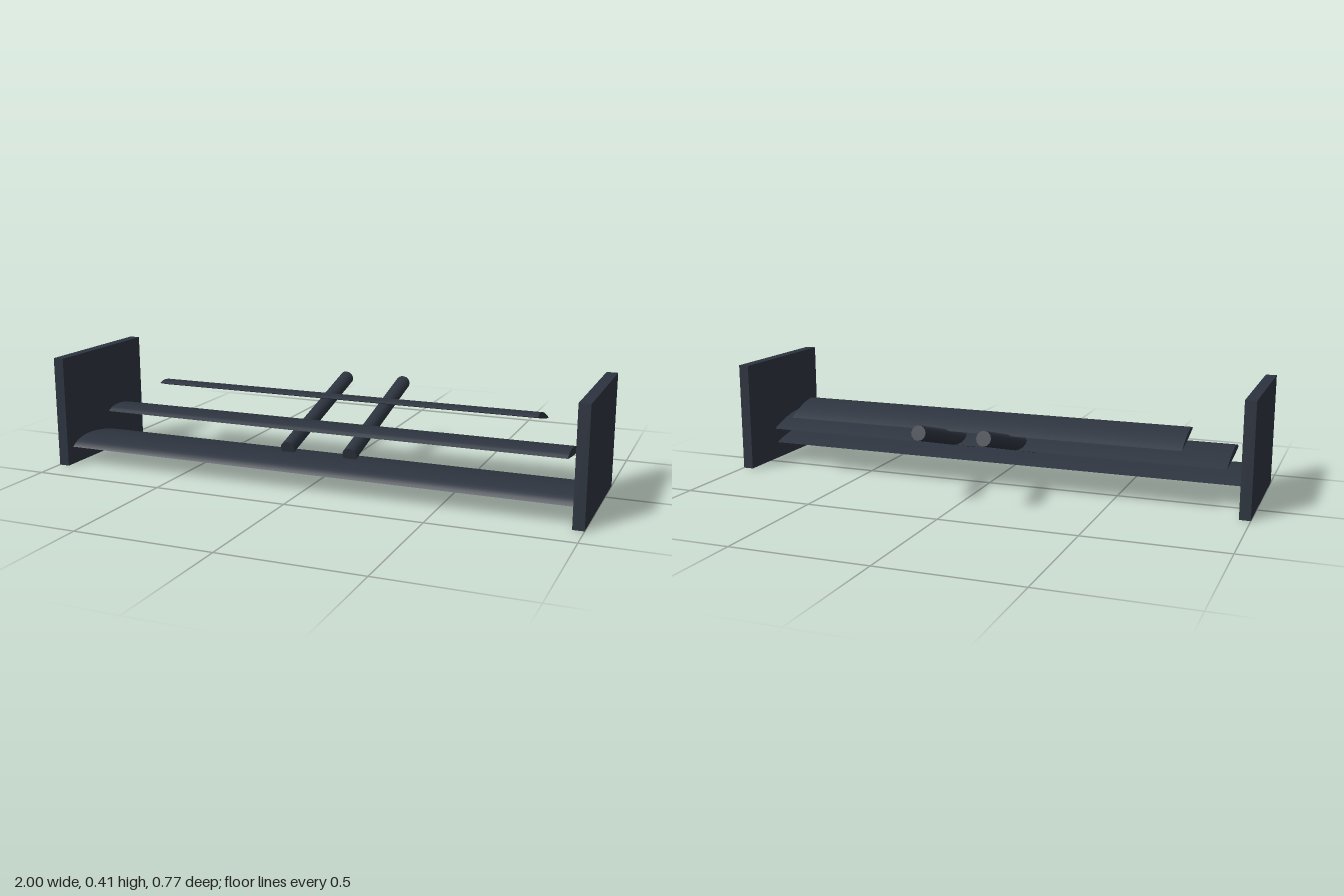
import * as THREE from 'three';
import { toCreasedNormals } from 'three/addons/utils/BufferGeometryUtils.js';

const material = new THREE.MeshStandardMaterial({ color: 0x2d343f });

function add(group, name, geometry, x, y, z) {
  const mesh = new THREE.Mesh(geometry, material);
  mesh.name = name;
  mesh.position.set(x, y, z);
  group.add(mesh);
  return mesh;
}

// Aerofoil section running back from its leading edge, swept across the span
function aerofoil(chord, span) {
  const c = chord;
  const shape = new THREE.Shape();
  shape.moveTo(0, 0);
  shape.bezierCurveTo(0.3 * c, -0.02 * c, 0.6 * c, -0.02 * c, c, 0);
  shape.bezierCurveTo(0.6 * c, 0.12 * c, 0.15 * c, 0.16 * c, 0, 0);
  const geometry = new THREE.ExtrudeGeometry(shape, { depth: span, bevelEnabled: false, curveSegments: 14 });
  geometry.translate(0, 0, -span / 2);
  geometry.rotateY(Math.PI / 2);
  return toCreasedNormals(geometry, 0.6);
}

export function createModel() {
  const group = new THREE.Group();
  group.name = 'frontWing';

  // Stacked wing elements, each shorter and more tilted than the one below
  const elements = [
    { name: 'mainPlane', span: 1.93, chord: 0.3, y: 0.066, z: 0.35, tilt: 0 },
    { name: 'middleFlap', span: 1.8, chord: 0.25, y: 0.177, z: 0.19, tilt: 6 },
    { name: 'upperFlap', span: 1.52, chord: 0.19, y: 0.269, z: 0.03, tilt: 13 },
  ];
  for (const e of elements) {
    const flap = add(group, e.name, aerofoil(e.chord, e.span), 0, e.y, e.z);
    flap.rotation.x = -THREE.MathUtils.degToRad(e.tilt);
  }

  // End plates and mounting struts, mirrored
  for (const [side, s] of [['left', 1], ['right', -1]]) {
    add(group, side + 'EndPlate', new THREE.BoxGeometry(0.04, 0.415, 0.525), s * 0.98, 0.2075, 0.1225);
    const strut = add(group, side + 'Strut',
      toCreasedNormals(new THREE.CylinderGeometry(0.0275, 0.0275, 0.6, 12), 0.6), s * 0.122, 0.187, -0.087);
    strut.rotation.x = -THREE.MathUtils.degToRad(75);
  }
  return group;
}
